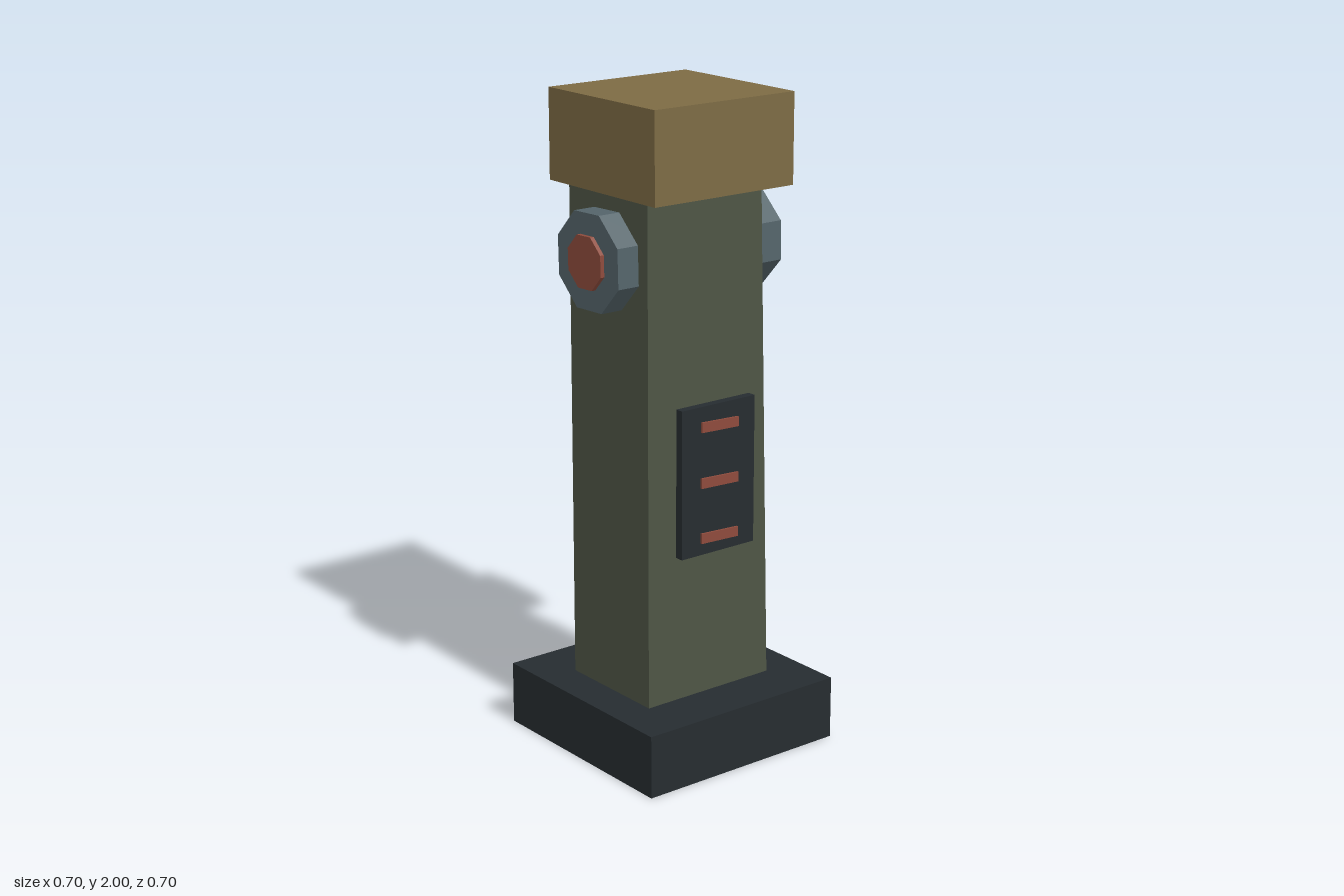
import * as THREE from 'three';

const material = (color) => new THREE.MeshStandardMaterial({ color, flatShading: true });
const dark = material(0x262c30);
const green = material(0x4e5545);
const gold = material(0x7d6b44);
const steel = material(0x54646a);
const red = material(0x8e4b3c);

function add(parent, name, geometry, mat, x, y, z) {
  const mesh = new THREE.Mesh(geometry, mat);
  mesh.name = name;
  mesh.position.set(x, y, z);
  parent.add(mesh);
  return mesh;
}

// Box whose corners are moved by a rule
function shapedBox(w, h, d, rule) {
  const geometry = new THREE.BoxGeometry(w, h, d);
  const p = geometry.attributes.position;
  const v = new THREE.Vector3();
  for (let i = 0; i < p.count; i++) {
    rule(v.fromBufferAttribute(p, i));
    p.setXYZ(i, v.x, v.y, v.z);
  }
  geometry.computeVertexNormals();
  return geometry;
}

// Eight-sided disc lying along x, with flats facing up and sideways
function octagon(radius, length) {
  return new THREE.CylinderGeometry(radius, radius, length, 8)
    .rotateY(Math.PI / 8 + 0.03)
    .rotateZ(Math.PI / 2);
}

export function createModel() {
  const model = new THREE.Group();
  model.name = 'controlPillar';

  // Base, shaft leaning in on one side, and cap
  add(model, 'base', new THREE.BoxGeometry(0.7, 0.195, 0.7), dark, 0, 0.0975, 0);
  const shaft = shapedBox(0.46, 1.535, 0.37, (v) => {
    if (v.x > 0 && v.y > 0) v.x -= 0.042;
  });
  add(model, 'shaft', shaft, green, 0, 0.9625, 0);
  add(model, 'cap', new THREE.BoxGeometry(0.507, 0.272, 0.497), gold, 0, 1.864, 0);

  // Side hubs with lamps
  for (const [side, prefix] of [[1, 'left'], [-1, 'right']]) {
    add(model, prefix + 'Hub', octagon(0.154, 0.125), steel, side * 0.24, 1.535, 0);
    add(model, prefix + 'Lamp', octagon(0.084, 0.035), red, side * 0.298, 1.535, 0);
  }

  // Front panel standing just off the shaft, with three light bars
  const panel = new THREE.Group();
  panel.name = 'frontPanel';
  model.add(panel);
  add(panel, 'panelPlate', new THREE.BoxGeometry(0.273, 0.456, 0.027), dark, -0.002, 0.884, 0.2135);
  const bar = shapedBox(0.138, 0.036, 0.024, (v) => {
    if (v.x > 0 && v.y > 0) v.y -= 0.006;
    if (v.x < 0 && v.y < 0) v.y += 0.005;
  });
  for (const y of [0.706, 0.877, 1.048]) add(panel, 'lightBar', bar, red, 0, y, 0.222);

  return model;
}
